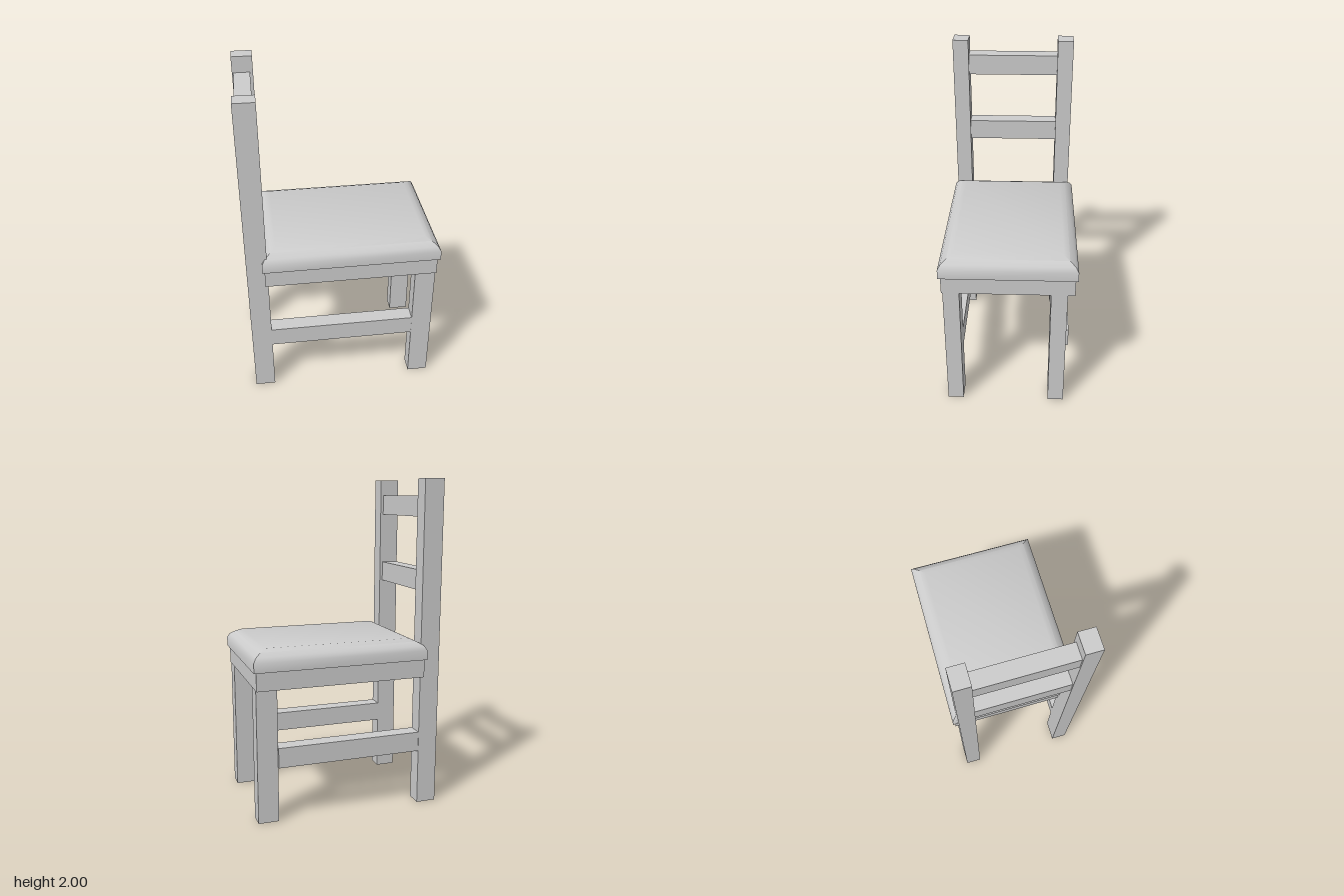
import * as THREE from 'three';
import { toCreasedNormals } from 'three/addons/utils/BufferGeometryUtils.js';

const material = new THREE.MeshStandardMaterial({ color: 0xcccccc });

// Box given by its lower and upper limits on each axis
function bar(name, [x0, x1], [y0, y1], [z0, z1]) {
  const mesh = new THREE.Mesh(new THREE.BoxGeometry(x1 - x0, y1 - y0, z1 - z0), material);
  mesh.position.set((x0 + x1) / 2, (y0 + y1) / 2, (z0 + z1) / 2);
  mesh.name = name;
  return mesh;
}

// Cushion from stacked rectangles, each [inset, height]
function cushionGeometry([x0, x1], [z0, z1], rings) {
  const points = [], faces = [];
  for (const [d, y] of rings) {
    points.push(x0 + d, y, z1 - d, x1 - d, y, z1 - d, x1 - d, y, z0 + d, x0 + d, y, z0 + d);
  }
  for (let r = 0; r < rings.length - 1; r++) {
    for (let i = 0; i < 4; i++) {
      const a = r * 4 + i, b = r * 4 + (i + 1) % 4;
      faces.push(a, b, b + 4, a, b + 4, a + 4);
    }
  }
  const t = (rings.length - 1) * 4;
  faces.push(t, t + 1, t + 2, t, t + 2, t + 3, 0, 2, 1, 0, 3, 2);
  const geometry = new THREE.BufferGeometry();
  geometry.setAttribute('position', new THREE.Float32BufferAttribute(points, 3));
  geometry.setIndex(faces);
  return toCreasedNormals(geometry, 0.7);
}

export function createModel() {
  const chair = new THREE.Group();
  chair.name = 'chair';

  // Back posts running from the floor to the top, facing the seat along +x
  const postX = [-0.58, -0.457];
  chair.add(bar('backPostLeft', postX, [0, 2], [0.285, 0.382]));
  chair.add(bar('backPostRight', postX, [0, 2], [-0.37, -0.273]));

  // Short front legs
  const legX = [0.435, 0.56];
  chair.add(bar('frontLegLeft', legX, [0, 0.83], [0.285, 0.382]));
  chair.add(bar('frontLegRight', legX, [0, 0.83], [-0.345, -0.248]));

  // Side stretchers between the legs
  const railX = [-0.46, 0.437];
  chair.add(bar('stretcherLeft', railX, [0.342, 0.464], [0.285, 0.381]));
  chair.add(bar('stretcherRight', railX, [0.342, 0.464], [-0.367, -0.271]));

  // Horizontal slats of the backrest
  for (const y of [1.4, 1.84]) {
    chair.add(bar('backSlat', [-0.572, -0.475], [y - 0.062, y + 0.062], [-0.28, 0.29]));
  }

  // Solid seat frame
  chair.add(bar('seatFrame', [-0.475, 0.565], [0.82, 0.935], [-0.387, 0.389]));

  // Padded cushion with softened top edges
  const cushion = new THREE.Mesh(
    cushionGeometry([-0.487, 0.58], [-0.4, 0.402],
      [[0, 0.93], [0, 0.988], [0.016, 1.015], [0.05, 1.037], [0.085, 1.053]]),
    material);
  cushion.name = 'cushion';
  chair.add(cushion);

  return chair;
}
